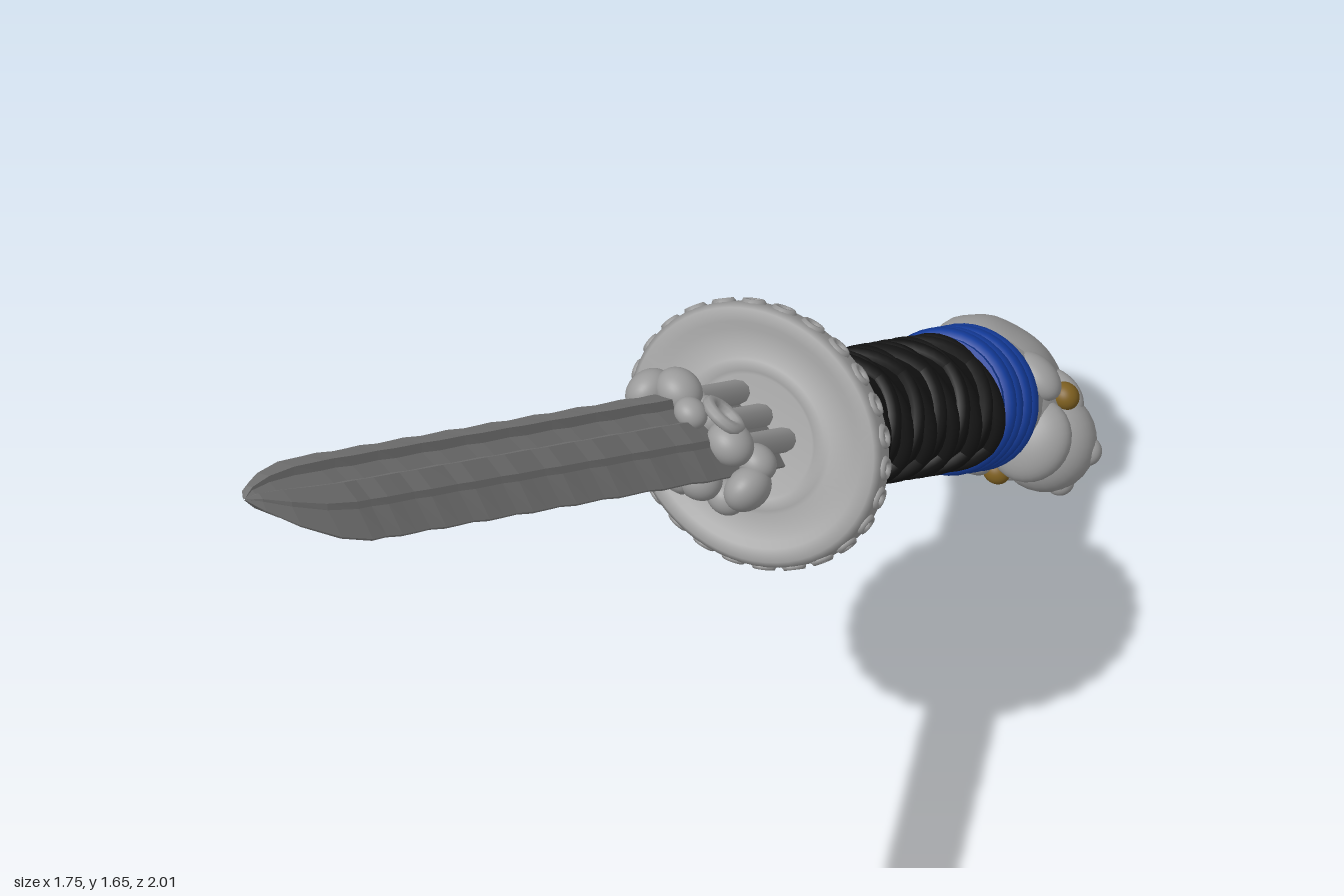
import * as THREE from 'three';

const mat = (name, color, extra = {}) => Object.assign(new THREE.MeshStandardMaterial({ color, ...extra }), { name });

export function createModel() {
  const steel = mat('steel', 0x7c7c7c, { flatShading: true });
  const silver = mat('silver', 0x9c9c9c);
  const black = mat('blackCord', 0x141414);
  const blue = mat('blueCord', 0x143c9c);
  const gold = mat('gold', 0x7d5f20);

  // Sword space: y runs along the blade, x from spine to cutting edge, z across the flats
  const sword = new THREE.Group();
  sword.name = 'sword';
  const axis = new THREE.Vector3(-0.55, 0.515, 0.657).normalize();
  const edge = new THREE.Vector3(0, 0, 1).addScaledVector(axis, -axis.z).normalize();
  const flat = new THREE.Vector3().crossVectors(edge, axis);
  sword.quaternion.setFromRotationMatrix(new THREE.Matrix4().makeBasis(edge, axis, flat));
  sword.position.set(0.247, 0.61, -0.275);

  const add = (name, geo, material, pos = [0, 0, 0], scale = [1, 1, 1], parent = sword) => {
    const m = new THREE.Mesh(geo, material);
    m.name = name;
    m.position.set(...pos);
    m.scale.set(...scale);
    parent.add(m);
    return m;
  };
  const part = (name) => {
    const g = new THREE.Group();
    g.name = name;
    sword.add(g);
    return g;
  };
  const lathe = (pts, seg = 48) => new THREE.LatheGeometry(pts.map(p => new THREE.Vector2(...p)), seg);
  const ball = new THREE.SphereGeometry(1, 28, 20);

  // Blade: grooved cross-section (position across, thickness) lofted to the tip
  const half = [[0, 0.45], [0.16, 1], [0.22, 0.62], [0.38, 0.62], [0.44, 1], [0.66, 0.85], [0.71, 0.6], [1, 0.06]];
  const outline = [...half, ...half.slice().reverse().map(([u, t]) => [u, -t])];
  const stations = [[0.02, -0.075, 0.06, 0.024]];
  for (let i = 0; i <= 24; i++) {
    const wave = Math.sin(i * 2.1) * 0.002;
    stations.push([0.28 + i * 0.0583, -0.085 + wave, 0.062 + wave * 0.7, 0.026 + wave]);
  }
  stations.push([1.78, -0.084, 0.05, 0.022], [1.88, -0.073, 0.02, 0.017],
    [1.95, -0.057, -0.014, 0.01], [1.985, -0.04, -0.038, 0.001]);
  const pos = [], idx = [], n = outline.length;
  stations.forEach(([s, lo, hi, t], i) => {
    outline.forEach(([u, k], j) => {
      pos.push(lo + (hi - lo) * u, s, k * t);
      if (i === stations.length - 1) return;
      const a = i * n + j, b = i * n + (j + 1) % n;
      idx.push(a, b, b + n, a, b + n, a + n);
    });
  });
  const bladeGeo = new THREE.BufferGeometry();
  bladeGeo.setAttribute('position', new THREE.Float32BufferAttribute(pos, 3));
  bladeGeo.setIndex(idx);
  bladeGeo.computeVertexNormals();
  add('blade', bladeGeo, steel);

  // Blade collar: ribbed neck with a knobbly clasp
  const collar = part('bladeCollar');
  for (const side of [-1, 1]) {
    for (let i = 0; i < 3; i++) {
      add('collarRib', new THREE.CapsuleGeometry(0.017, 0.17, 4, 10), silver, [-0.055 + i * 0.045, 0.11, side * 0.026], [1, 1, 1], collar);
    }
    for (const [x, y, r] of [[-0.07, 0.24, 0.034], [-0.02, 0.22, 0.03], [0.03, 0.24, 0.034], [0.068, 0.21, 0.028], [-0.03, 0.275, 0.024]]) {
      add('collarKnob', ball, silver, [x, y, side * 0.032], [r, r, r * 0.85], collar);
    }
    add('collarRing', new THREE.TorusGeometry(0.026, 0.009, 8, 20), silver, [0.0, 0.25, side * 0.055], [1, 1, 1], collar);
  }
  add('collarSpineKnob', ball, silver, [-0.1, 0.235, 0], [0.028, 0.04, 0.034], collar);
  add('collarEdgeKnob', ball, silver, [0.085, 0.22, 0], [0.028, 0.04, 0.034], collar);

  // Guard: oval dished disc with a raised rim and carved edge
  const guard = part('guard');
  guard.scale.set(1.09, 1, 0.93);
  add('guardDisc', lathe([[0, -0.018], [0.08, -0.018], [0.14, -0.018], [0.15, -0.027], [0.168, -0.026], [0.175, -0.016],
    [0.175, 0.016], [0.168, 0.026], [0.15, 0.028], [0.14, 0.02], [0.105, 0.019], [0.1, 0.024], [0.085, 0.024],
    [0.08, 0.018], [0, 0.018]], 64), silver, [0, 0, 0], [1, 1, 1], guard);
  for (let i = 0; i < 26; i++) {
    const a = i / 26 * Math.PI * 2;
    const stud = add('guardStud', new THREE.TorusGeometry(0.012, 0.005, 6, 12), silver,
      [Math.sin(a) * 0.175, 0, Math.cos(a) * 0.175], [1, 1, 1], guard);
    stud.rotation.y = a;
  }

  // Gold ferrule under the guard
  add('ferrule', lathe([[0, -0.11], [0.074, -0.11], [0.08, -0.09], [0.074, -0.075], [0.08, -0.055], [0.076, -0.03], [0.07, -0.016], [0, -0.016]]),
    gold, [0, 0, 0], [1.06, 1, 0.95]);

  // Grip: core with crossing cords
  const grip = part('grip');
  grip.scale.set(1.06, 1, 0.95);
  add('gripCore', new THREE.CylinderGeometry(0.08, 0.08, 0.66, 32), black, [0, -0.42, 0], [1, 1, 1], grip);
  const helix = (dir, phase) => {
    const pts = [];
    for (let i = 0; i <= 90; i++) {
      const t = i / 90, a = dir * t * Math.PI * 2 * 3.5 + phase;
      pts.push(new THREE.Vector3(Math.cos(a) * 0.079, -0.1 - t * 0.64, Math.sin(a) * 0.079));
    }
    return new THREE.TubeGeometry(new THREE.CatmullRomCurve3(pts), 150, 0.014, 8);
  };
  for (const dir of [-1, 1]) {
    for (const phase of [0, Math.PI]) {
      add('gripCord', helix(dir, phase), black, [0, 0, 0], [1, 1, 1], grip);
    }
  }

  // Blue binding: stacked cord rings
  const binding = part('binding');
  binding.scale.set(1.03, 1, 0.97);
  add('bindingCore', new THREE.CylinderGeometry(0.088, 0.088, 0.13, 32), blue, [0, -0.795, 0], [1, 1, 1], binding);
  for (let i = 0; i < 4; i++) {
    const ring = add('bindingRing', new THREE.TorusGeometry(0.081, 0.018, 10, 40), blue, [0, -0.75 - i * 0.031, 0], [1, 1, 1], binding);
    ring.rotation.set(Math.PI / 2 + (i % 2 ? 0.05 : -0.05), 0, 0);
  }

  // Pommel: beast head with snout, brow, jaw and gold eyes
  const pommel = part('pommel');
  add('headNeck', new THREE.CylinderGeometry(0.082, 0.09, 0.08, 32), silver, [0, -0.88, 0], [1.05, 1, 0.95], pommel);
  const headGeo = new THREE.SphereGeometry(1, 48, 32);
  const p = headGeo.attributes.position;
  for (let i = 0; i < p.count; i++) {
    // shallow creases divide the skull into plates
    const x = p.getX(i), y = p.getY(i), z = p.getZ(i);
    const k = 1 - 0.06 * Math.pow(Math.abs(Math.cos(4 * x + 1) * Math.cos(4 * z) * Math.cos(3 * y)), 2);
    p.setXYZ(i, x * k, y * k, z * k);
  }
  headGeo.computeVertexNormals();
  add('skull', headGeo, silver, [-0.005, -0.94, 0], [0.112, 0.105, 0.092], pommel);
  add('snout', ball, silver, [0.09, -0.965, 0], [0.07, 0.058, 0.07], pommel);
  add('jaw', ball, silver, [0.085, -0.915, 0], [0.055, 0.035, 0.06], pommel);
  for (const side of [-1, 1]) {
    add('brow', ball, silver, [0.06, -0.965, side * 0.06], [0.04, 0.022, 0.025], pommel);
    add('cheek', ball, silver, [0.035, -0.905, side * 0.07], [0.04, 0.03, 0.025], pommel);
    add('nostril', ball, silver, [0.14, -0.975, side * 0.028], [0.02, 0.018, 0.02], pommel);
    add('eye', ball, gold, [0.075, -0.938, side * 0.07], [0.02, 0.018, 0.018], pommel);
  }

  const model = new THREE.Group();
  model.name = 'model';
  model.add(sword);
  return model;
}
